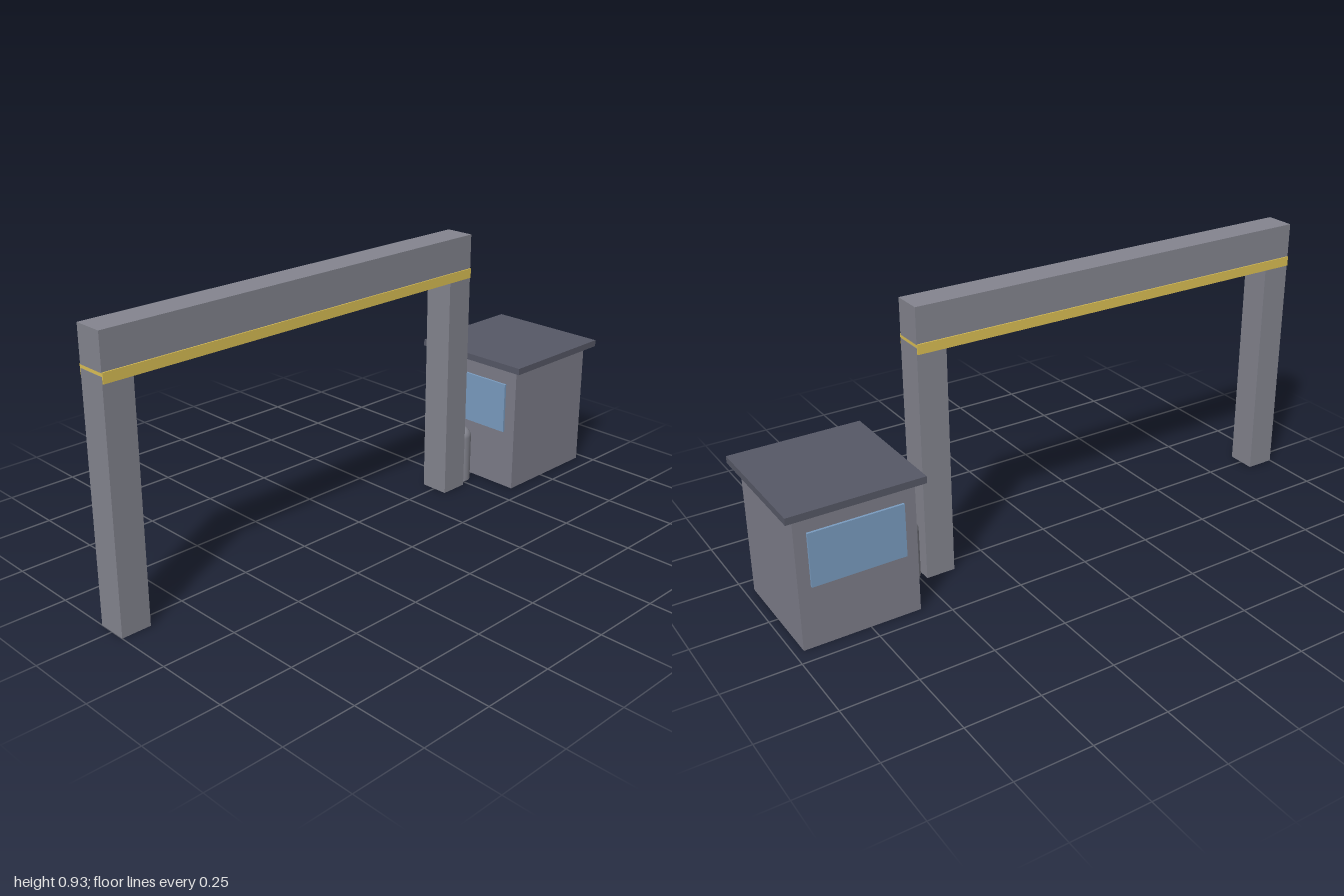
import * as THREE from 'three';

const mat = (color) => new THREE.MeshStandardMaterial({ color });

export function createModel() {
  const model = new THREE.Group();
  const steel = mat(0x84858f);
  const wall = mat(0x7d7d89);
  const roofing = mat(0x565866);
  const glass = mat(0x7a9cc0);
  const yellow = mat(0xdcc055);

  // Box given by its extents along x, y and z
  function box(parent, name, material, [x0, x1], [y0, y1], [z0, z1]) {
    const mesh = new THREE.Mesh(new THREE.BoxGeometry(x1 - x0, y1 - y0, z1 - z0), material);
    mesh.position.set((x0 + x1) / 2, (y0 + y1) / 2, (z0 + z1) / 2);
    mesh.name = name;
    parent.add(mesh);
  }

  // Gantry: two posts, a beam and a warning stripe under it
  const gantry = new THREE.Group();
  gantry.name = 'gantry';
  box(gantry, 'frontPost', steel, [-0.051, 0.051], [0, 0.8], [0.9, 1]);
  box(gantry, 'rearPost', steel, [-0.051, 0.051], [0, 0.8], [-0.48, -0.38]);
  box(gantry, 'beam', steel, [-0.051, 0.051], [0.811, 0.93], [-0.48, 1]);
  box(gantry, 'warningStripe', yellow, [-0.055, 0.055], [0.78, 0.813], [-0.479, 0.999]);

  // Booth: walls, overhanging roof, front window and right-hand window
  const booth = new THREE.Group();
  booth.name = 'booth';
  box(booth, 'walls', wall, [-0.193, 0.193], [0, 0.45], [-0.97, -0.58]);
  box(booth, 'roof', roofing, [-0.223, 0.223], [0.45, 0.473], [-1, -0.555]);
  box(booth, 'frontWindow', glass, [-0.15, 0.15], [0.21, 0.39], [-0.587, -0.572]);
  box(booth, 'sideWindow', glass, [-0.201, -0.186], [0.21, 0.39], [-0.93, -0.62]);

  // Bollard: straight shaft with a domed cap
  const bollard = new THREE.Group();
  bollard.name = 'bollard';
  bollard.position.z = -0.518;
  const r = 0.037, h = 0.168;
  const shaft = new THREE.Mesh(new THREE.CylinderGeometry(r, r, h, 16), steel);
  shaft.position.y = h / 2;
  shaft.name = 'bollardShaft';
  const cap = new THREE.Mesh(new THREE.SphereGeometry(r, 16, 6, 0, Math.PI * 2, 0, Math.PI / 2), steel);
  cap.position.y = h;
  cap.name = 'bollardCap';
  bollard.add(shaft, cap);

  model.add(gantry, booth, bollard);
  return model;
}
